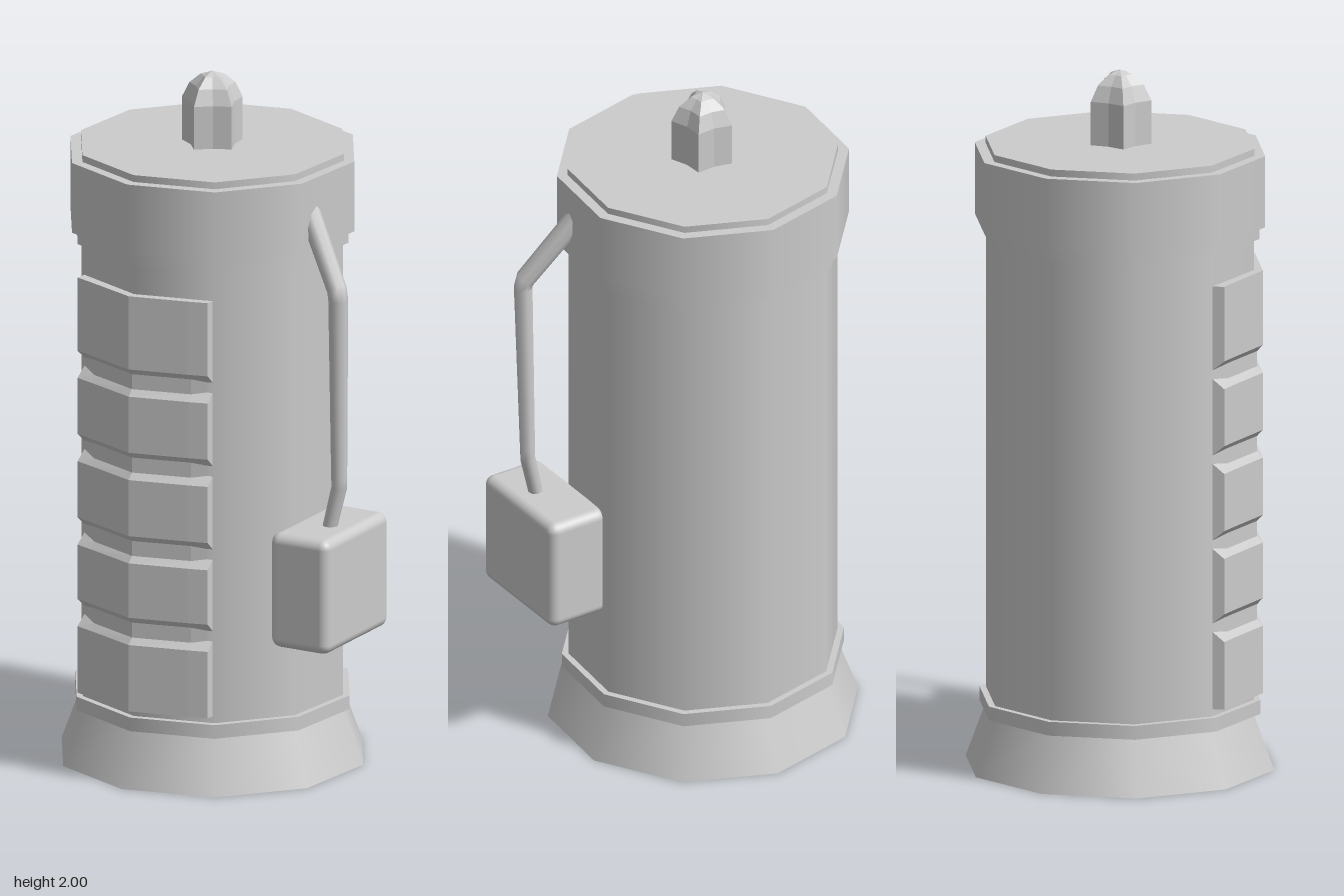
import * as THREE from 'three';
import { RoundedBoxGeometry } from 'three/addons/geometries/RoundedBoxGeometry.js';

const CX = -0.075; // axis of the canister
const smooth = new THREE.MeshStandardMaterial({ color: 0xcccccc });
const flat = new THREE.MeshStandardMaterial({ color: 0xcccccc, flatShading: true });

function part(name, geometry, material = smooth) {
  const mesh = new THREE.Mesh(geometry, material);
  mesh.name = name;
  return mesh;
}

// Ten-sided drum section between two heights
function drum(name, rTop, rBottom, y0, y1) {
  const mesh = part(name, new THREE.CylinderGeometry(rTop, rBottom, y1 - y0, 10));
  mesh.position.set(CX, (y0 + y1) / 2, 0);
  return mesh;
}

// Five-ridged pointed knob: every second column of a lathe is pulled inwards
function knob() {
  const profile = [[0.09, 1.78], [0.09, 1.915], [0.068, 1.96], [0.035, 1.988], [0, 2]];
  const g = new THREE.LatheGeometry(profile.map(([r, y]) => new THREE.Vector2(r, y)), 10);
  const p = g.attributes.position;
  for (let i = 0; i < p.count; i++) {
    const k = Math.floor(i / profile.length) % 2 ? 0.72 : 1;
    p.setXYZ(i, p.getX(i) * k, p.getY(i), p.getZ(i) * k);
  }
  const mesh = part('topKnob', g, flat);
  mesh.position.x = CX;
  return mesh;
}

// Folded front panel made of stacked cross-sections, with four cut grooves
function frontPanel() {
  // x, outer z, groove depth, half height of groove floor
  const columns = [
    [-0.22, 0.305, 0, 0.012], [-0.22, 0.346, 0.034, 0.012], [-0.165, 0.361, 0.018, 0.022],
    [0, 0.41, 0.016, 0.022],
    [0.165, 0.357, 0.018, 0.022], [0.22, 0.337, 0.028, 0.012], [0.22, 0.305, 0, 0.012],
  ];
  const rows = [{ y: 0.22 }];
  for (const y of [0.455, 0.695, 0.94, 1.185]) {
    rows.push({ y: y - 0.04 }, { y, floor: -1 }, { y, floor: 1 }, { y: y + 0.04 });
  }
  rows.push({ y: 1.44 });

  const pos = [], index = [], n = columns.length;
  for (const { y, floor } of rows) {
    for (const [x, z, depth, half] of columns) {
      pos.push(x, floor ? y + floor * half : y, floor ? z - depth : z);
    }
  }
  for (let i = 0; i < rows.length - 1; i++) {
    for (let j = 0; j < n - 1; j++) {
      const a = i * n + j, b = a + 1, c = b + n, d = a + n;
      index.push(a, b, c, a, c, d);
    }
  }
  // Top and bottom ends
  const low = pos.length / 3, high = low + 1, last = (rows.length - 1) * n;
  pos.push(0, 0.22, 0.37, 0, 1.44, 0.37);
  for (let j = 0; j < n - 1; j++) {
    index.push(low, j + 1, j, high, last + j, last + j + 1);
  }
  const g = new THREE.BufferGeometry();
  g.setAttribute('position', new THREE.Float32BufferAttribute(pos, 3));
  g.setIndex(index);
  g.computeVertexNormals();
  const mesh = part('frontPanel', g, flat);
  mesh.position.x = CX;
  return mesh;
}

// Bent tapering pipe from the collar down to the side box
function sidePipe() {
  const group = new THREE.Group();
  group.name = 'sidePipe';
  const points = [[0.295, 1.67, 0.055], [0.437, 1.465, 0.115], [0.43, 0.89, 0.1], [0.395, 0.74, 0.107]]
    .map((p) => new THREE.Vector3(...p));
  const curve = new THREE.CatmullRomCurve3(points, false, 'catmullrom', 0);
  const steps = 32, sides = 8;
  const g = new THREE.TubeGeometry(curve, steps, 0.031, sides);
  const p = g.attributes.position, v = new THREE.Vector3();
  for (let i = 0; i < p.count; i++) {
    const t = Math.floor(i / (sides + 1)) / steps;
    const centre = curve.getPointAt(t);
    v.fromBufferAttribute(p, i).sub(centre).multiplyScalar(1 - 0.33 * t).add(centre);
    p.setXYZ(i, v.x, v.y, v.z);
  }
  const end = part('pipeEnd', new THREE.SphereGeometry(0.031, 8, 6));
  end.position.copy(points[0]);
  group.add(part('pipe', g), end);
  return group;
}

export function createModel() {
  const model = new THREE.Group();
  model.name = 'canister';
  model.add(
    drum('flaredBase', 0.384, 0.443, 0, 0.16),
    drum('lowerRing', 0.403, 0.403, 0.16, 0.2),
    drum('body', 0.384, 0.384, 0.18, 1.55),
    drum('upperRing', 0.4, 0.4, 1.53, 1.565),
    drum('collar', 0.417, 0.417, 1.565, 1.77),
    drum('lid', 0.386, 0.386, 1.77, 1.79),
    knob(),
    frontPanel(),
    sidePipe(),
  );

  // Rounded box on the left side
  const box = part('sideBox', new RoundedBoxGeometry(0.19, 0.335, 0.355, 3, 0.028));
  box.position.set(0.384, 0.607, 0.083);
  box.rotation.y = 0.09;
  model.add(box);
  return model;
}
